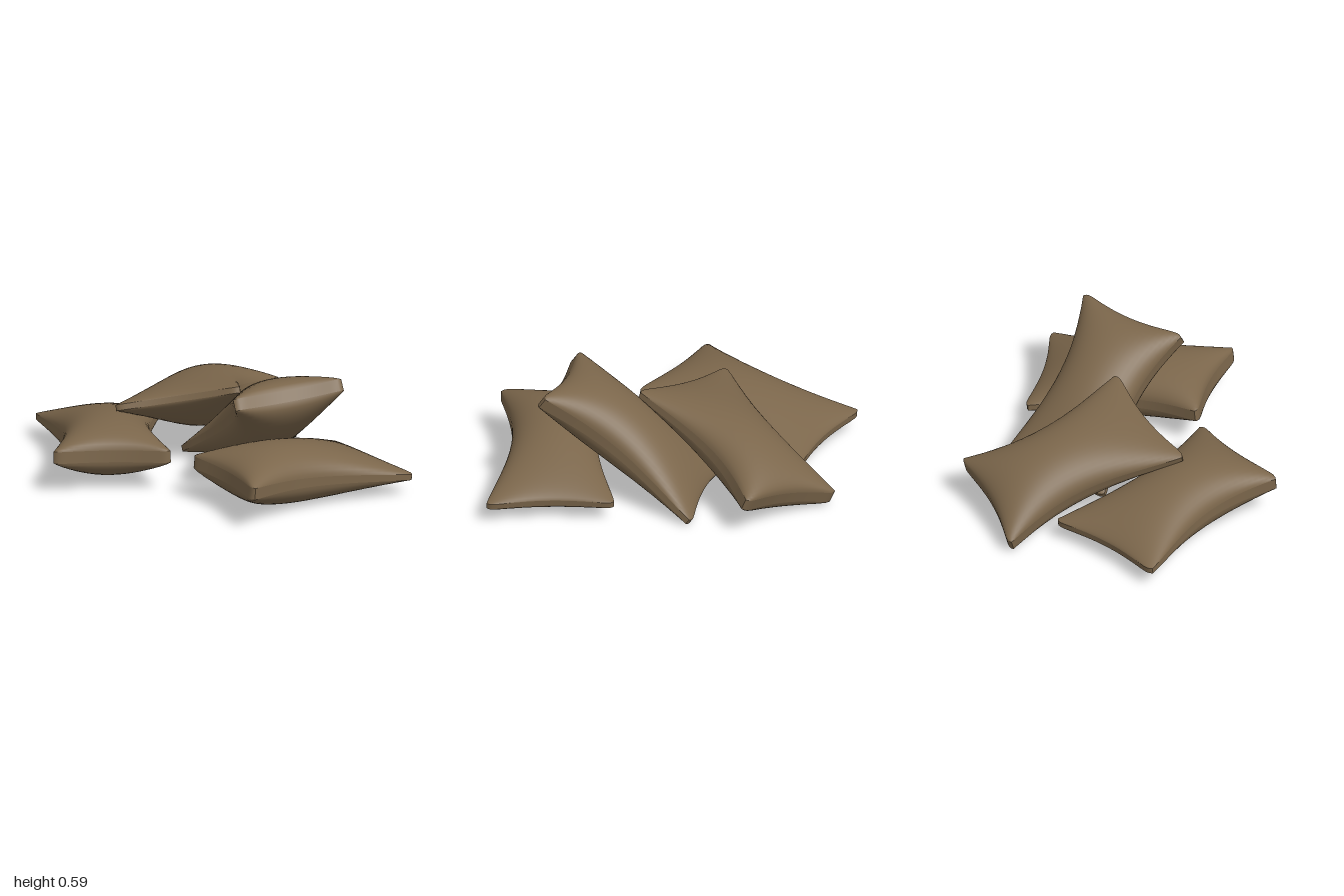
import * as THREE from 'three';

const NU = 22, NS = 30;

// One stuffed sack: a, b are the corners of the thick end, c, d those of the thin end.
function sackGeometry(corners) {
  const [a, b, c, d] = corners.map((p) => new THREE.Vector3(...p));
  const across = b.clone().sub(a).add(d).sub(c);
  const along = c.clone().sub(a).add(d).sub(b);
  const normal = across.cross(along).normalize();

  // tu in -1..1 across, ts in 0..1 along; samples gather towards the edges
  function point(tu, ts, side) {
    const u = Math.sin(tu * Math.PI / 2);
    const s = (1 - Math.cos(ts * Math.PI)) / 2;
    const waist = 1.02 - 0.29 * Math.pow(Math.max(0, Math.sin(Math.PI * Math.pow(s, 0.85))), 1.2);
    const uu = (u * waist + 1) / 2;
    const inset = 0.035 * Math.pow(1 - u * u, 1.3) + 0.02 * Math.pow(u, 20);
    const p = a.clone().lerp(b, uu).lerp(c.clone().lerp(d, uu), s + (1 - 2 * s) * inset);
    const rim = THREE.MathUtils.lerp(0.03, 0.015, s);
    const bulge = 0.128 * Math.pow(Math.max(0, 1 - u * u), 0.52)
      * Math.pow(Math.max(0, Math.sin(Math.PI * Math.pow(s, 0.76))), 0.62);
    p.addScaledVector(normal, side * (rim + bulge));
    p.y = Math.max(p.y, 0.004); // rests on the floor
    return p;
  }

  const pos = [], idx = [];
  const add = (u, s, side) => pos.push(...point(u, s, side).toArray());

  // upper and lower cloth
  for (const side of [1, -1]) {
    const base = pos.length / 3, row = NU + 1;
    for (let j = 0; j <= NS; j++)
      for (let i = 0; i <= NU; i++) add(-1 + 2 * i / NU, j / NS, side);
    for (let j = 0; j < NS; j++)
      for (let i = 0; i < NU; i++) {
        const p = base + j * row + i, q = p + 1, r = p + row, t = r + 1;
        if (side > 0) idx.push(p, q, r, q, t, r);
        else idx.push(p, r, q, q, r, t);
      }
  }

  // seam band along the four edges
  const edges = [
    [NU, (t) => [-1 + 2 * t, 0]],
    [NS, (t) => [1, t]],
    [NU, (t) => [1 - 2 * t, 1]],
    [NS, (t) => [-1, 1 - t]],
  ];
  for (const [n, at] of edges) {
    const base = pos.length / 3;
    for (let i = 0; i <= n; i++) {
      const [u, s] = at(i / n);
      add(u, s, 1);
      add(u, s, -1);
    }
    for (let i = 0; i < n; i++) {
      const p = base + 2 * i;
      idx.push(p, p + 1, p + 2, p + 2, p + 1, p + 3);
    }
  }

  const geo = new THREE.BufferGeometry();
  geo.setAttribute('position', new THREE.Float32BufferAttribute(pos, 3));
  geo.setIndex(idx);
  geo.computeVertexNormals();
  return geo;
}

export function createModel() {
  const group = new THREE.Group();
  group.name = 'sackPile';
  const burlap = new THREE.MeshStandardMaterial({ color: 0x7b664b });
  burlap.name = 'burlap';

  const sacks = {
    rightFloorSack: [[-0.76, 0.2, 0.49], [-0.2, 0.2, 0.38], [-1, 0.1, -0.38], [-0.41, 0.1, -0.58]],
    leftFloorSack: [[-0.08, 0.2, 0.42], [0.29, 0.2, 0.84], [0.53, 0.1, -0.23], [1, 0.1, 0.18]],
    leaningSack: [[0.15, 0.53, 0.46], [0.64, 0.57, 0.19], [-0.24, 0.025, -0.22], [0.27, 0.02, -0.52]],
    backSack: [[0.15, 0.19, -0.8], [-0.4, 0.045, -0.845], [0.09, 0.46, 0.06], [-0.52, 0.34, 0.095]],
  };
  for (const [name, corners] of Object.entries(sacks)) {
    const mesh = new THREE.Mesh(sackGeometry(corners), burlap);
    mesh.name = name;
    group.add(mesh);
  }
  return group;
}
